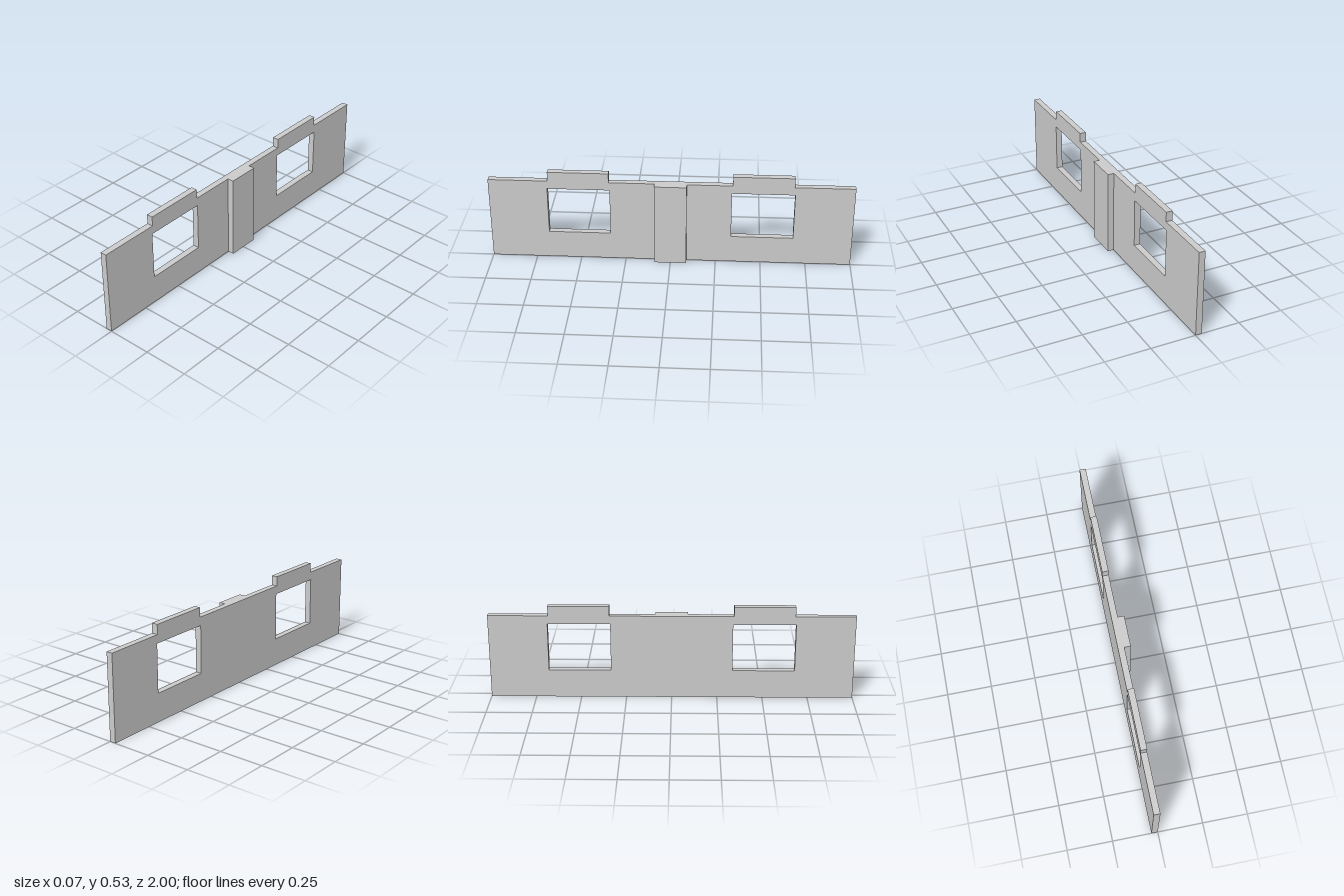
import * as THREE from 'three';

export function createModel() {
  const model = new THREE.Group();
  model.name = 'wallPanel';
  const material = new THREE.MeshStandardMaterial({ color: 0xcccccc, flatShading: true });

  const thickness = 0.035, height = 0.477, tabTop = 0.531;
  const bayCentres = [-0.505, 0.505];
  const tabHalf = 0.167, windowHalf = 0.171;
  const sill = 0.16, lintel = 0.43;

  // Wall outline along its length, with a raised tab over each window
  const outline = new THREE.Shape();
  outline.moveTo(-1, 0);
  outline.lineTo(1, 0);
  outline.lineTo(1, height);
  for (const c of [...bayCentres].reverse()) {
    outline.lineTo(c + tabHalf, height);
    outline.lineTo(c + tabHalf, tabTop);
    outline.lineTo(c - tabHalf, tabTop);
    outline.lineTo(c - tabHalf, height);
  }
  outline.lineTo(-1, height);
  outline.closePath();

  // Window openings
  for (const c of bayCentres) {
    const opening = new THREE.Path();
    opening.moveTo(c - windowHalf, sill);
    opening.lineTo(c - windowHalf, lintel);
    opening.lineTo(c + windowHalf, lintel);
    opening.lineTo(c + windowHalf, sill);
    opening.closePath();
    outline.holes.push(opening);
  }

  // Turn the length onto z; thickness runs from x = -0.035 to 0
  const wallGeometry = new THREE.ExtrudeGeometry(outline, { depth: thickness, bevelEnabled: false });
  wallGeometry.rotateY(-Math.PI / 2);
  const wall = new THREE.Mesh(wallGeometry, material);
  wall.name = 'wall';
  model.add(wall);

  // Central pilaster on the +x face
  const pilaster = new THREE.Mesh(new THREE.BoxGeometry(thickness, height, 0.176), material);
  pilaster.name = 'pilaster';
  pilaster.position.set(thickness / 2, height / 2, 0);
  model.add(pilaster);

  return model;
}
